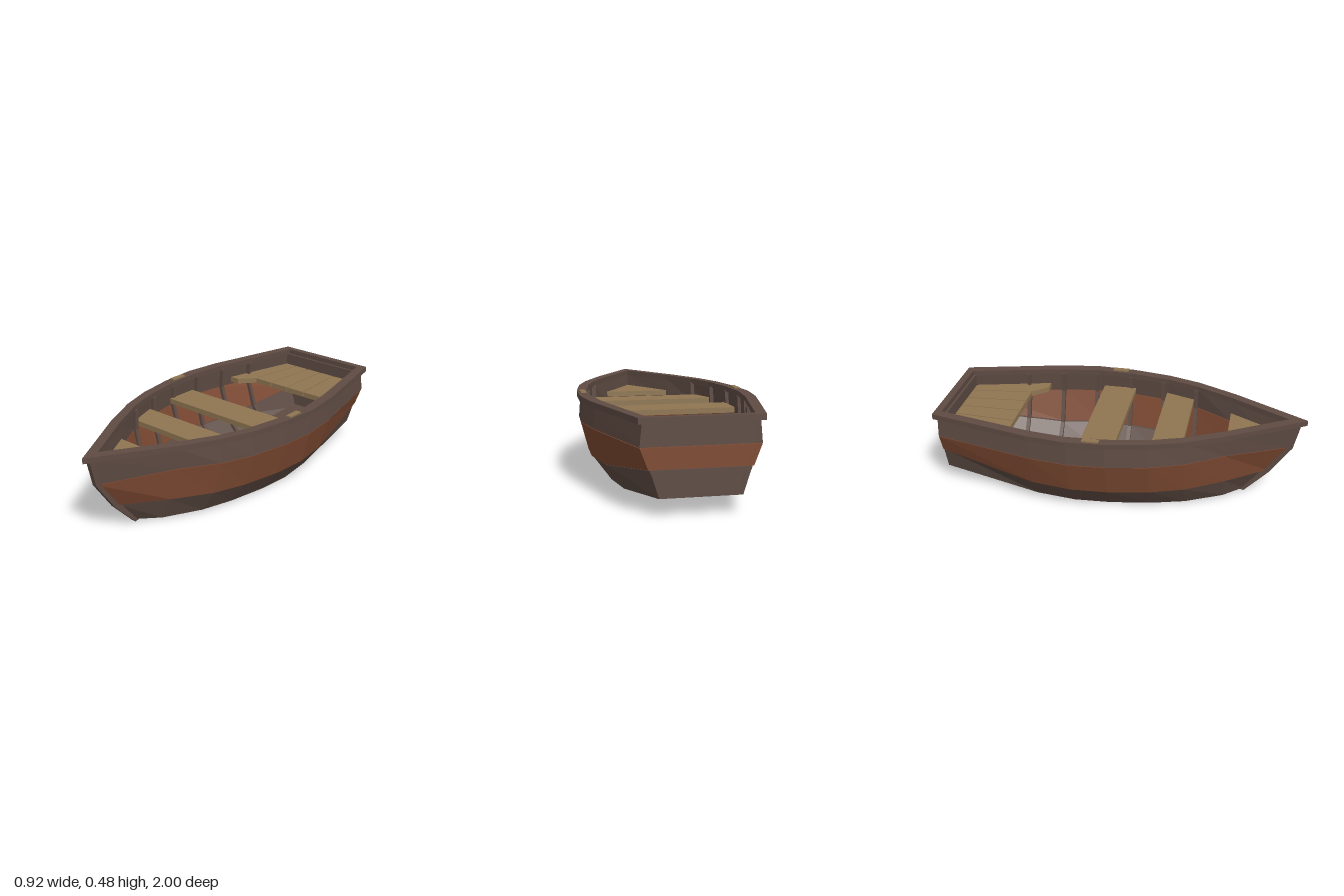
import * as THREE from 'three';

const mat = (color) => new THREE.MeshStandardMaterial({ color, flatShading: true, side: THREE.DoubleSide });
const DARK = mat(0x5e4b43), RUST = mat(0x7e4a32), TAN = mat(0x8f7652);

// Hull lines from keel to rail: half width and height at each station, then the bow tip
const Z = [-0.98, -0.44, -0.22, -0.02, 0.2, 0.38, 0.58];
const LINES = [
  { w: [0.2, 0.265, 0.295, 0.285, 0.25, 0.2, 0.1], y: 0.01, sternY: 0.09, tip: [0.01, 0.69] },
  { w: [0.25, 0.365, 0.4, 0.39, 0.35, 0.29, 0.17], y: 0.143, sternY: 0.225, tip: [0.14, 0.81] },
  { w: [0.29, 0.42, 0.45, 0.44, 0.4, 0.335, 0.21], y: 0.328, sternY: 0.33, tip: [0.3, 0.925] },
  { w: [0.28, 0.412, 0.442, 0.432, 0.392, 0.33, 0.22], y: 0.445, sternY: 0.445, tip: [0.445, 0.96] },
];
const THICK = 0.025;
const heightAt = (line, i) => (i === 0 ? line.sternY : line.y);

// Half width of a hull line at any z between the stations
function widthAt(line, z) {
  let i = 0;
  while (i < Z.length - 2 && z > Z[i + 1]) i++;
  return THREE.MathUtils.mapLinear(z, Z[i], Z[i + 1], line.w[i], line.w[i + 1]);
}

// Solid skin through a row of four-cornered sections
function loft(sections) {
  const idx = [];
  for (let i = 0; i < sections.length - 1; i++) {
    for (let j = 0; j < 4; j++) {
      const a = i * 4 + j, b = i * 4 + ((j + 1) % 4);
      idx.push(a, b, b + 4, a, b + 4, a + 4);
    }
  }
  const e = (sections.length - 1) * 4;
  idx.push(0, 2, 1, 0, 3, 2, e, e + 1, e + 2, e, e + 2, e + 3);
  const g = new THREE.BufferGeometry();
  g.setAttribute('position', new THREE.Float32BufferAttribute(sections.flat(2), 3));
  g.setIndex(idx);
  const flat = g.toNonIndexed();
  flat.computeVertexNormals();
  return flat;
}

// Points of a hull line from the left stern round the bow to the right stern
function around(line, inset, lift = 0) {
  const left = Z.map((z, i) => [line.w[i] - inset, heightAt(line, i) + lift, z]);
  const right = left.map(([x, y, z]) => [-x, y, z]).reverse();
  return [...left, [0, line.tip[0] + lift, line.tip[1] - inset * 1.8], ...right];
}

// Flat board: outline as [x, z] points, bottom height and thickness
function board(points, y, t, hole) {
  const v = (p) => p.map(([x, z]) => new THREE.Vector2(x, -z));
  const shape = new THREE.Shape(v(points));
  if (hole) shape.holes.push(new THREE.Path(v(hole)));
  const g = new THREE.ExtrudeGeometry(shape, { depth: t, bevelEnabled: false });
  return g.rotateX(-Math.PI / 2).translate(0, y, 0);
}

const mirrored = (half) => [...half, ...half.filter(([x]) => x > 0).map(([x, z]) => [-x, z]).reverse()];

export function createModel() {
  const boat = new THREE.Group();
  boat.name = 'rowingBoat';
  const add = (name, geo, material, parent = boat) => {
    const m = new THREE.Mesh(geo, material);
    m.name = name;
    parent.add(m);
    return m;
  };

  // Three strakes and the matching transom planks
  const names = ['lower', 'middle', 'upper'];
  names.forEach((name, k) => {
    const lo = LINES[k], hi = LINES[k + 1];
    const color = k === 1 ? RUST : DARK;
    const tuck = k === 0 ? 0.009 : 0.001;
    const ob = around(lo, 0), ot = around(hi, tuck, k < 2 ? -0.003 : 0);
    const it = around(hi, THICK + tuck, k < 2 ? -0.003 : 0), ib = around(lo, THICK);
    add(name + 'Strake', loft(ob.map((p, i) => [p, ot[i], it[i], ib[i]])), color);

    const plank = new THREE.Shape([
      new THREE.Vector2(-lo.w[0] + 0.004, lo.sternY), new THREE.Vector2(lo.w[0] - 0.004, lo.sternY),
      new THREE.Vector2(hi.w[0] - 0.006, hi.sternY - 0.003), new THREE.Vector2(-hi.w[0] + 0.006, hi.sternY - 0.003),
    ]);
    add(name + 'TransomPlank', new THREE.ExtrudeGeometry(plank, { depth: 0.03, bevelEnabled: false })
      .translate(0, 0, -0.977), color);
  });

  // Flat bottom, rising toward the stern
  const keel = LINES[0];
  const bottom = [...Z.map((z, i) => [keel.w[i] - 0.003, heightAt(keel, i), z]), [0.002, 0.01, 0.685]];
  add('bottom', loft(bottom.map(([w, y, z]) => [[w, y, z], [w, y + THICK, z], [-w, y + THICK, z], [-w, y, z]])), DARK);

  // Stem post following the bow
  const outer = [[0.69, 0], [0.822, 0.137], [0.935, 0.3], [0.968, 0.445]];
  const inner = outer.map(([z, y]) => [z - 0.05, y + 0.01]).reverse();
  inner[0][1] = 0.445;
  const stem = new THREE.Shape([...outer, ...inner].map(([z, y]) => new THREE.Vector2(-z, y)));
  add('stemPost', new THREE.ExtrudeGeometry(stem, { depth: 0.026, bevelEnabled: false })
    .translate(0, 0, -0.013).rotateY(Math.PI / 2), DARK);

  // Rail around the top edge
  const railOut = mirrored([[0.3, -1], [0.435, -0.44], [0.462, -0.23], [0.45, -0.02], [0.41, 0.2], [0.35, 0.38], [0.24, 0.6], [0, 1]]);
  const railIn = mirrored([[0.257, -0.96], [0.378, -0.44], [0.405, -0.23], [0.395, -0.02], [0.358, 0.2], [0.3, 0.37], [0.192, 0.58], [0, 0.9]]);
  add('rail', board(railOut, 0.44, 0.03, railIn), DARK);

  // Ribs inside both sides
  const ribs = new THREE.Group();
  ribs.name = 'ribs';
  boat.add(ribs);
  for (const z of [-0.64, -0.44, -0.24, -0.03, 0.17, 0.37]) {
    for (const s of [1, -1]) {
      const sections = LINES.map((line, k) => {
        const rise = k < 2 ? Math.max(0, (-0.44 - z) / 0.54) * 0.08 : 0;
        const y = line.y + rise + (k === 0 ? 0.02 : 0);
        const xo = s * (widthAt(line, z) - 0.02), xi = s * (widthAt(line, z) - 0.045);
        const c = [[xo, y, z + 0.011], [xo, y, z - 0.011], [xi, y, z - 0.011], [xi, y, z + 0.011]];
        return s > 0 ? c : c.reverse();
      });
      add('rib', loft(sections), DARK, ribs);
    }
  }

  // Seats
  const SEAT = 0.345, T = 0.03;
  add('middleSeat', board(mirrored([[0.4, -0.19], [0.4, 0]]), SEAT, T), TAN);
  add('frontSeat', board(mirrored([[0.375, 0.19], [0.318, 0.355]]), SEAT, T), TAN);
  add('bowSeat', board(mirrored([[0.192, 0.58], [0, 0.9]]), SEAT, T), TAN);

  // Stern seat: fanned planks with angled side benches
  const stern = new THREE.Group();
  stern.name = 'sternSeat';
  boat.add(stern);
  const g = 0.003;
  for (const s of [1, -1]) {
    const side = (pts) => board(pts.map(([x, z]) => [s * x, z]), SEAT, T);
    add('sternPlank', side([[g, -0.95], [0.098 - g, -0.95], [0.122 - g, -0.6], [g, -0.6]]), TAN, stern);
    add('sternPlank', side([[0.098 + g, -0.95], [0.19 - g, -0.95], [0.24 - g, -0.6], [0.122 + g, -0.6]]), TAN, stern);
    add('sternSideBench', side([[0.19 + g, -0.95], [0.265, -0.95], [0.372, -0.515], [0.315, -0.515], [0.24 + g, -0.6]]), TAN, stern);
  }

  // Oar pads on the rail
  for (const s of [1, -1]) {
    const pad = add('oarPad', new THREE.BoxGeometry(0.03, 0.012, 0.09), TAN);
    pad.position.set(s * 0.428, 0.472, -0.095);
  }
  return boat;
}
